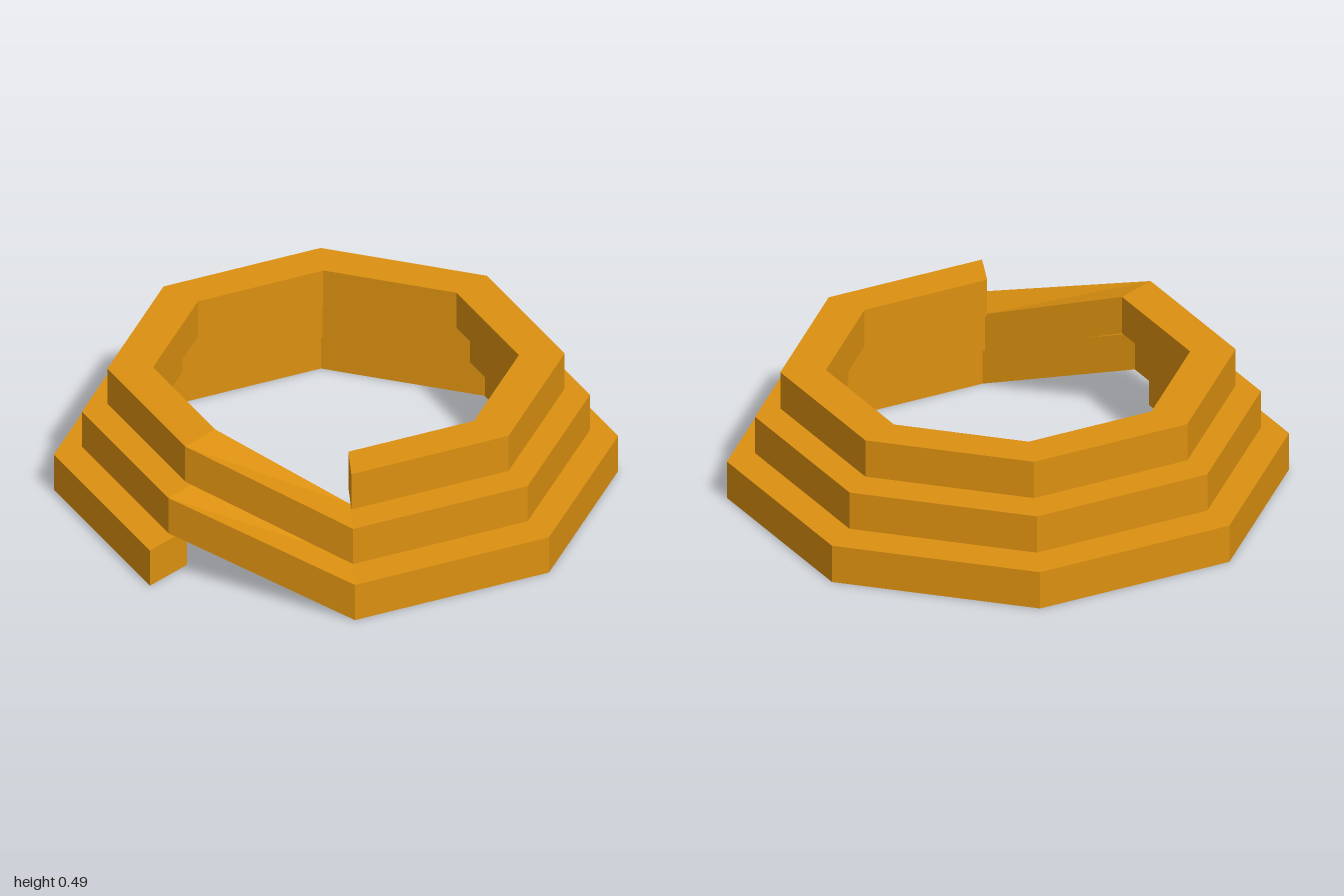
import * as THREE from 'three';

const SIDES = 8, LAYERS = 3;
const HEIGHT = 0.143, STEP = 0.171; // band height and rise per turn
const SHRINK = 0.9, INNER = 0.8;    // radius ratio per turn, inner/outer ratio

// Four corners of the band where it bends: outer bottom, outer top, inner top, inner bottom
function section(layer, k) {
  const a = (k / SIDES) * Math.PI * 2;
  const r = Math.pow(SHRINK, layer), y = layer * STEP;
  const corner = (radius, h) => [-Math.sin(a) * radius, h, Math.cos(a) * radius];
  return [
    corner(r, y), corner(r, y + HEIGHT),
    corner(r * INNER, y + HEIGHT), corner(r * INNER, y),
  ];
}

export function createModel() {
  const group = new THREE.Group();
  group.name = 'coil';

  // Each turn stays level; its last side ramps up to the smaller turn above
  const sections = [];
  for (let layer = 0; layer < LAYERS; layer++)
    for (let k = 0; k < SIDES; k++) sections.push(section(layer, k));

  const pos = [];
  const quad = (a, b, c, d) => pos.push(...a, ...b, ...c, ...a, ...c, ...d);

  // Side walls between neighbouring sections
  for (let i = 0; i < sections.length - 1; i++) {
    const a = sections[i], b = sections[i + 1];
    for (let j = 0; j < 4; j++) {
      const n = (j + 1) % 4;
      quad(b[j], a[j], a[n], b[n]);
    }
  }

  // End caps
  const s = sections[0], e = sections[sections.length - 1];
  quad(s[3], s[2], s[1], s[0]);
  quad(e[0], e[1], e[2], e[3]);

  const geometry = new THREE.BufferGeometry();
  geometry.setAttribute('position', new THREE.Float32BufferAttribute(pos, 3));
  geometry.computeVertexNormals();

  const material = new THREE.MeshStandardMaterial({ color: 0xdc9010, flatShading: true });
  const coil = new THREE.Mesh(geometry, material);
  coil.name = 'coiledBand';
  group.add(coil);
  return group;
}
